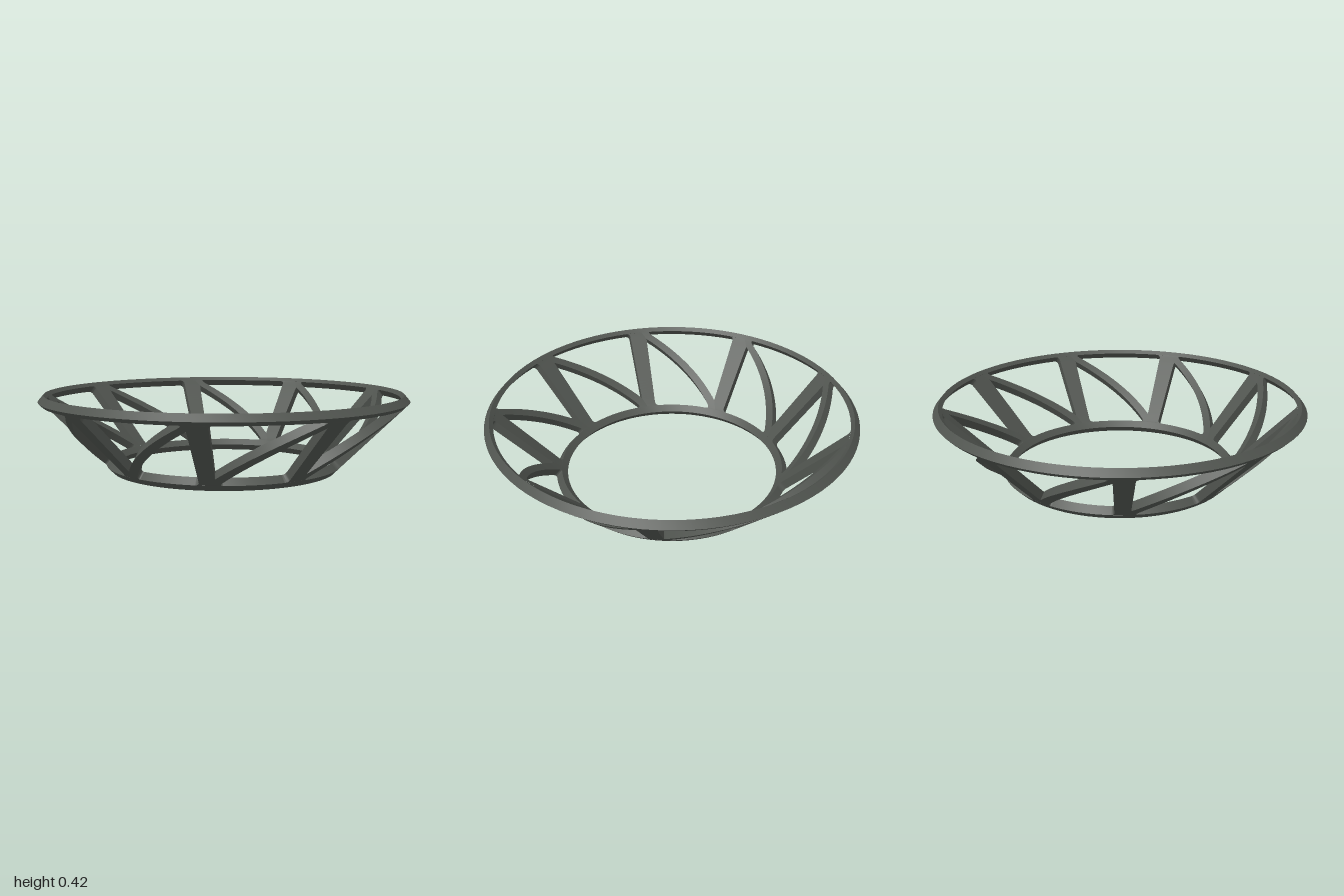
import * as THREE from 'three';
import { toCreasedNormals } from 'three/addons/utils/BufferGeometryUtils.js';

const COUNT = 9;                 // spokes around the cone
const STEP = (Math.PI * 2) / COUNT;
const DEG = Math.PI / 180;
const T0 = 0.08, T1 = 0.95;      // wall between the two rings (0 = bottom, 1 = top)

// Wall section: outer face at height fraction t, inner face offset squarely from it
const outer = (t) => [0.612 + 0.388 * t, 0.388 * t];
const inner = (t) => [outer(t)[0] - 0.03, outer(t)[1] + 0.035];
const radius = (t) => outer(t)[0];

// Edges of the spokes and slanted braces, as angles at height t
const spokeHalf = (t) => (0.038 + 0.015 * t) / radius(t);
const braceMid = (t) => (-1.5 + 42 * t) * DEG;
const braceHalf = (t) => 0.032 / radius(t);

// Opening between two edges, with rounded corners at its ends
function opening(t, left, right, start, end, r) {
  const mid = (left + right) / 2;
  const d = Math.min(t - start, end - t);
  if (d < -1e-6) return [mid, mid];
  const k = Math.max(0, 1 - d / r);
  const inset = (r * (1 - Math.sqrt(Math.max(0, 1 - k * k))) * 0.55) / radius(t);
  return left + inset < right - inset ? [left + inset, right - inset] : [mid, mid];
}
const upperHole = (t) =>
  opening(t, spokeHalf(t), braceMid(t) - braceHalf(t), 0.165, T1, 0.04);
const lowerHole = (t) =>
  opening(t, braceMid(t) + braceHalf(t), STEP - spokeHalf(t), T0, 0.875, 0.04);

// Solid strip of the conical wall between two angle functions
function wallStrip(leftOf, rightOf) {
  const rows = 40, pos = [], index = [];
  const put = ([r, y], a) => pos.push(r * Math.sin(a), y, r * Math.cos(a));
  for (let j = 0; j <= rows; j++) {
    const t = T0 + (T1 - T0) * (1 - Math.cos((Math.PI * j) / rows)) / 2;
    const l = leftOf(t), r = rightOf(t);
    put(outer(t), l);
    put(outer(t), r);
    put(inner(t), r);
    put(inner(t), l);
  }
  for (let j = 0; j < rows; j++) {
    for (let k = 0; k < 4; k++) {
      const a = j * 4 + k, b = j * 4 + ((k + 1) % 4);
      index.push(a, b, b + 4, a, b + 4, a + 4);
    }
  }
  const g = new THREE.BufferGeometry();
  g.setAttribute('position', new THREE.Float32BufferAttribute(pos, 3));
  g.setIndex(index);
  return toCreasedNormals(g, 0.6);
}

// Closed ring cut from the same wall
function wallRing(ta, tb) {
  const profile = [outer(ta), outer(tb), inner(tb), inner(ta), outer(ta)];
  const points = profile.map(([r, y]) => new THREE.Vector2(r, y));
  return toCreasedNormals(new THREE.LatheGeometry(points, 90), 0.6);
}

export function createModel() {
  const group = new THREE.Group();
  group.name = 'conicalFrame';
  const charcoal = new THREE.MeshStandardMaterial({ color: 0x50544f });
  charcoal.name = 'charcoal';

  const add = (name, geometry, turn = 0) => {
    const mesh = new THREE.Mesh(geometry, charcoal);
    mesh.name = name;
    mesh.rotation.y = turn;
    group.add(mesh);
  };

  // Rings
  add('bottomRing', wallRing(0, T0));
  add('topRim', wallRing(T1, 1));

  // Spokes and slanted braces
  const spoke = wallStrip((t) => lowerHole(t)[1] - STEP, (t) => upperHole(t)[0]);
  const brace = wallStrip((t) => upperHole(t)[1], (t) => lowerHole(t)[0]);
  for (let i = 0; i < COUNT; i++) {
    add('spoke', spoke, i * STEP);
    add('brace', brace, i * STEP);
  }
  return group;
}
